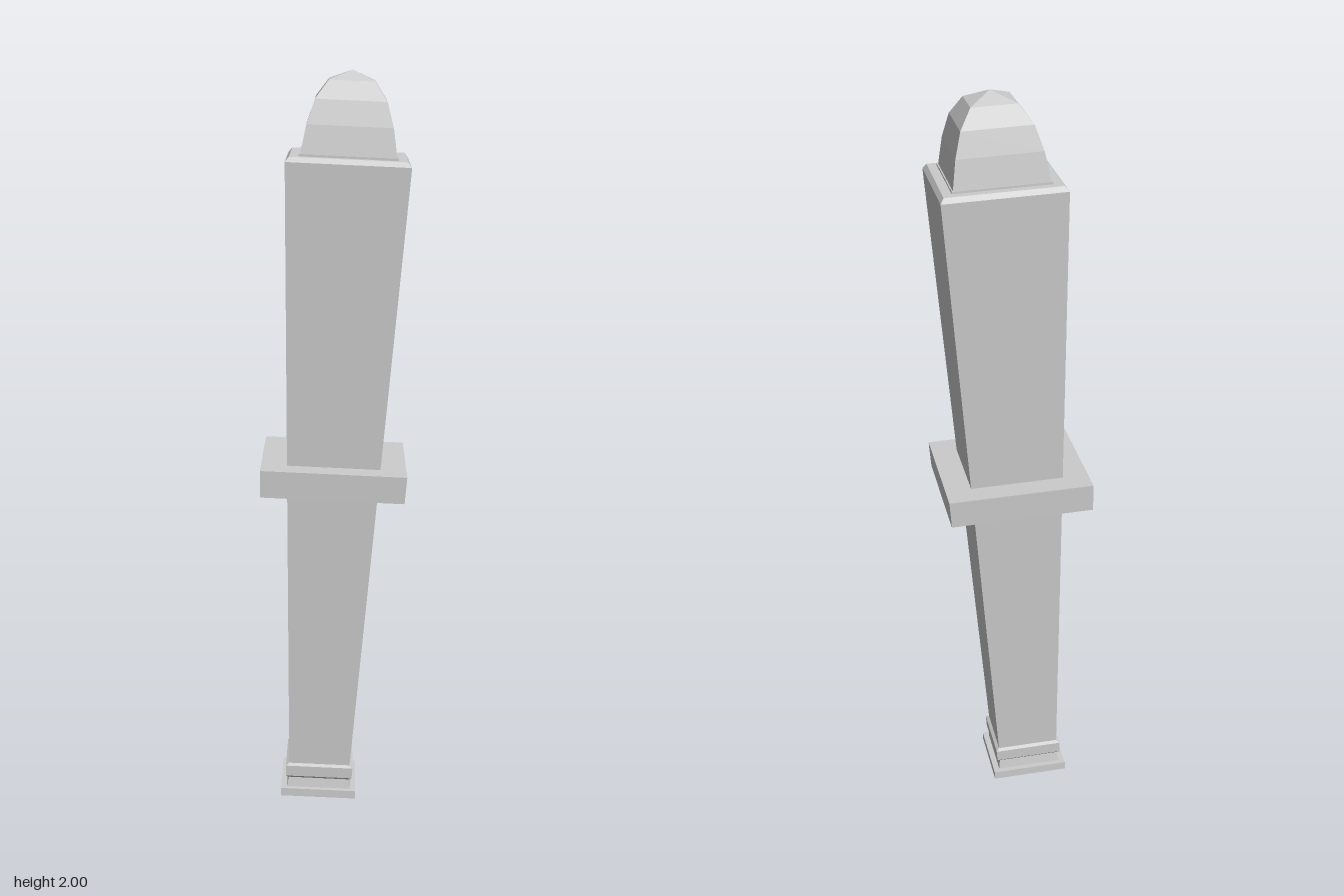
import * as THREE from 'three';

const material = new THREE.MeshStandardMaterial({ color: 0xcccccc, flatShading: true });

// Square part from a profile of [half width, height] pairs, bottom to top
function squarePart(name, profile) {
  const points = profile.map(([half, y]) => new THREE.Vector2(half * Math.SQRT2, y));
  const mesh = new THREE.Mesh(new THREE.LatheGeometry(points, 4, Math.PI / 4), material);
  mesh.name = name;
  return mesh;
}

export function createModel() {
  const model = new THREE.Group();
  model.name = 'taperedPillar';

  const pillar = new THREE.Group();
  pillar.name = 'leaningPillar';
  model.add(pillar);

  // Foot plate with a stepped recess underneath
  pillar.add(squarePart('footPlate', [
    [0, 0.045], [0.03, 0.045], [0.03, 0.03], [0.055, 0.03], [0.06, 0.015], [0.08, 0.015],
    [0.085, 0], [0.104, 0], [0.104, 0.022], [0.082, 0.022],
  ]));

  // Neck and small lip above the foot
  pillar.add(squarePart('footMoulding', [
    [0.088, 0.022], [0.084, 0.048], [0.092, 0.055], [0.093, 0.085], [0.084, 0.091],
  ]));

  // Shaft widening upwards, with a bevelled top edge
  pillar.add(squarePart('shaft', [
    [0.083, 0.06], [0.162, 1.764], [0.152, 1.777], [0, 1.777],
  ]));

  // Collar around the middle
  pillar.add(squarePart('collar', [
    [0, 0.887], [0.191, 0.887], [0.194, 0.96], [0, 0.96],
  ]));

  // Square dome on a thin plinth
  pillar.add(squarePart('domePlinth', [[0.128, 1.775], [0.128, 1.783], [0.12, 1.783]]));
  pillar.add(squarePart('dome', [
    [0.125, 1.78], [0.112, 1.858], [0.093, 1.922], [0.06, 1.97], [0, 1.996],
  ]));

  // Lean towards +x
  pillar.rotation.z = -0.0468;
  pillar.position.set(-0.048, 0.005, 0);
  return model;
}
